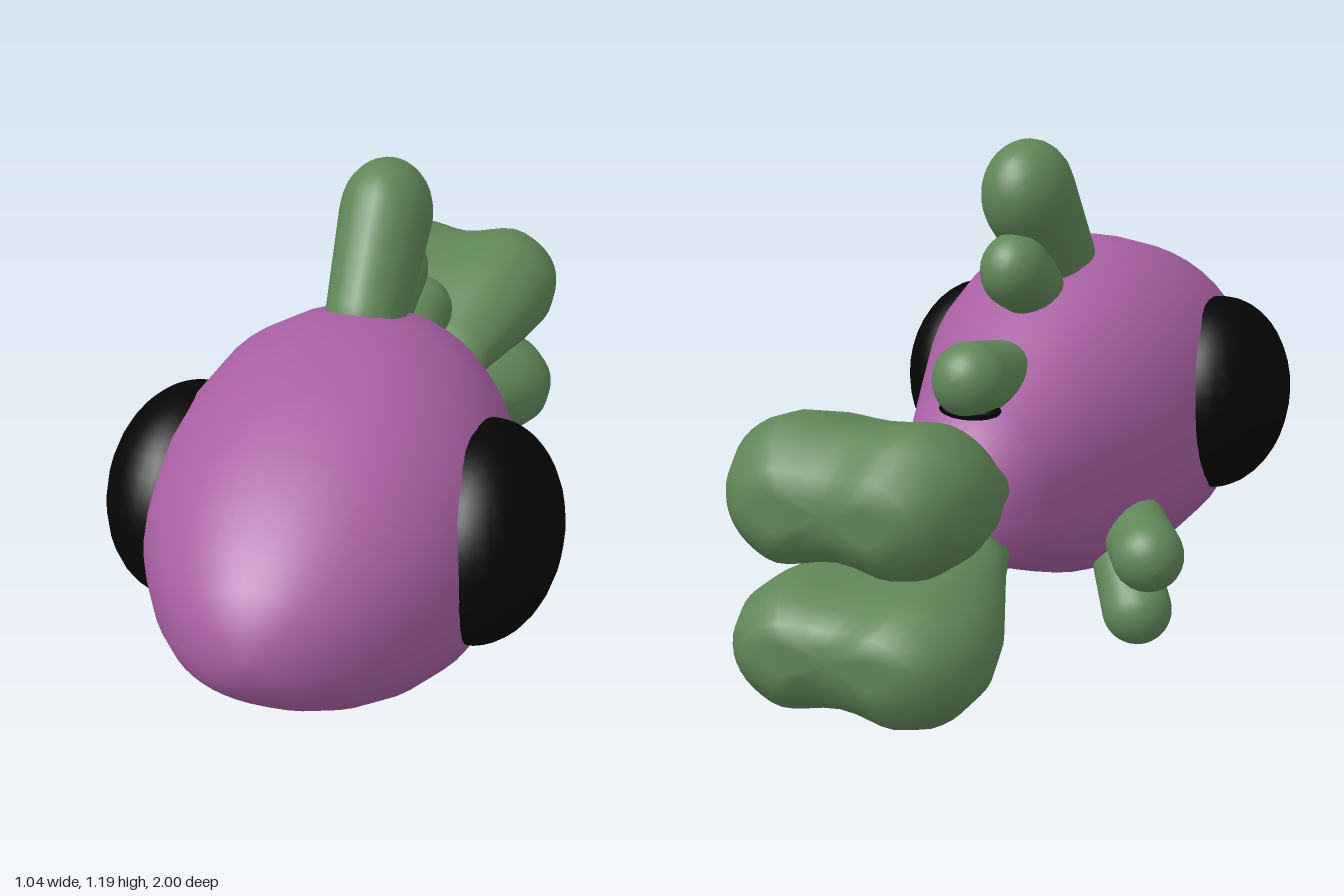
import * as THREE from 'three';

const purple = new THREE.MeshStandardMaterial({ color: 0xa85fa3 });
purple.name = 'bodyPurple';
const green = new THREE.MeshStandardMaterial({ color: 0x608658 });
green.name = 'finGreen';
const black = new THREE.MeshStandardMaterial({ color: 0x060606 });
black.name = 'eyeBlack';

function add(group, name, geometry, material) {
  const mesh = new THREE.Mesh(geometry, material);
  mesh.name = name;
  group.add(mesh);
  return mesh;
}

// Skin over sections [z, halfWidth, centreY, halfHeight], ordered from back to front.
// topPower and lowPower set how square each half is;
// waist pinches the middle of each section; notch dents the rear end.
function loft(sections, { topPower, lowPower, waist = 0, notch = 0 }) {
  const pos = [], index = [], n = sections.length, seg = 48;
  for (const [z, w, cy, h] of sections) {
    const back = Math.min(1, Math.max(0, (-z - 0.45) / 0.35));
    const end = Math.max(0, (-z - 0.8) / 0.2);
    for (let j = 0; j < seg; j++) {
      const a = (j / seg) * Math.PI * 2;
      const power = Math.sin(a) > 0 ? topPower : lowPower;
      const round = (v) => Math.sign(v) * Math.abs(v) ** (2 / power);
      const c = round(Math.cos(a)), s = round(Math.sin(a));
      const mid = Math.max(0, 1 - 2.5 * c * c) ** 2;
      pos.push(w * c, cy + h * s * (1 - waist * back * mid), z + notch * end * mid);
    }
  }
  for (let i = 0; i < n - 1; i++) {
    for (let j = 0; j < seg; j++) {
      const k = (j + 1) % seg;
      const a = i * seg + j, b = i * seg + k, c = a + seg, d = b + seg;
      index.push(a, b, d, a, d, c);
    }
  }
  // End caps
  const first = sections[0], last = sections[n - 1];
  pos.push(0, first[2], first[0] + notch, 0, last[2], last[0]);
  for (let j = 0; j < seg; j++) {
    const k = (j + 1) % seg;
    index.push(k, j, n * seg);
    index.push((n - 1) * seg + j, (n - 1) * seg + k, n * seg + 1);
  }
  const geo = new THREE.BufferGeometry();
  geo.setAttribute('position', new THREE.Float32BufferAttribute(pos, 3));
  geo.setIndex(index);
  geo.computeVertexNormals();
  return geo;
}

// Rounded fin lobe: two spheres of different radius joined by a cone
function lobe(from, to, r0, r1) {
  const a = new THREE.Vector3(...from), dir = new THREE.Vector3(...to).sub(a);
  const len = dir.length(), tilt = Math.asin((r0 - r1) / len), pts = [];
  const arc = (r, y, p0, p1) => {
    for (let i = 0; i <= 8; i++) {
      const p = p0 + ((p1 - p0) * i) / 8;
      pts.push(new THREE.Vector2(Math.max(0, r * Math.cos(p)), y + r * Math.sin(p)));
    }
  };
  arc(r0, 0, -Math.PI / 2, tilt);
  arc(r1, len, tilt, Math.PI / 2);
  const geo = new THREE.LatheGeometry(pts, 24);
  geo.applyQuaternion(new THREE.Quaternion().setFromUnitVectors(new THREE.Vector3(0, 1, 0), dir.normalize()));
  return geo.translate(a.x, a.y, a.z);
}

export function createModel() {
  const fish = new THREE.Group();
  fish.name = 'fish';

  // Body: [z, halfWidth, bottom, top]
  const profile = [
    [-0.46, 0.14, 0.275, 0.54], [-0.33, 0.187, 0.235, 0.625], [-0.2, 0.235, 0.195, 0.712],
    [-0.1, 0.275, 0.155, 0.78], [0, 0.315, 0.12, 0.84], [0.1, 0.355, 0.1, 0.89],
    [0.25, 0.388, 0.09, 0.93], [0.4, 0.4, 0.105, 0.918], [0.55, 0.387, 0.145, 0.885],
    [0.7, 0.338, 0.213, 0.82], [0.8, 0.28, 0.27, 0.762], [0.88, 0.22, 0.328, 0.705],
    [0.94, 0.157, 0.383, 0.652], [0.975, 0.1, 0.43, 0.605], [0.993, 0.05, 0.473, 0.562],
    [1, 0.015, 0.505, 0.53],
  ];
  add(fish, 'body', loft(profile.map(([z, w, lo, hi]) => [z, w, (lo + hi) / 2, (hi - lo) / 2]),
    { topPower: 2.12, lowPower: 2.4 }), purple);

  // Tail fins: the lower one mirrors the upper one
  const tail = [
    [-1, 0.145, 0.545, 0.045], [-0.988, 0.195, 0.55, 0.095], [-0.95, 0.24, 0.556, 0.148],
    [-0.88, 0.274, 0.56, 0.177], [-0.8, 0.278, 0.555, 0.174], [-0.7, 0.25, 0.541, 0.158],
    [-0.6, 0.205, 0.515, 0.126], [-0.5, 0.16, 0.485, 0.092], [-0.44, 0.14, 0.47, 0.073],
  ];
  const tailShape = { topPower: 2.2, lowPower: 2.2, waist: 0.24, notch: 0.02 };
  add(fish, 'upperTailFin', loft(tail, tailShape), green);
  add(fish, 'lowerTailFin', loft(tail.map(([z, w, y, h]) =>
    [z, w, 0.385 - (y - 0.395) * 0.91, h * 0.91]), tailShape), green);

  // Row of fins along the back, the first two slightly flattened sideways
  add(fish, 'frontDorsalFin',
    lobe([0, 0.88, 0.15], [0, 1.066, -0.028], 0.11, 0.13).scale(0.83, 1, 1), green);
  add(fish, 'middleDorsalFin',
    lobe([0, 0.84, 0], [0, 0.895, -0.105], 0.08, 0.09).scale(0.9, 1, 1), green);
  add(fish, 'rearDorsalFin', lobe([0, 0.662, -0.2], [0, 0.682, -0.343], 0.084, 0.088), green);
  const spot = add(fish, 'backSpot', new THREE.SphereGeometry(1, 20, 12), black);
  spot.scale.set(0.075, 0.022, 0.048);
  spot.position.set(0, 0.615, -0.347);

  // Paired eyes and side fins
  for (const [side, s] of [['left', 1], ['right', -1]]) {
    const eye = add(fish, side + 'Eye', new THREE.SphereGeometry(1, 32, 20), black);
    eye.scale.set(0.18, 0.247, 0.262);
    eye.position.set(s * 0.338, 0.525, 0.41);
    add(fish, side + 'UpperSideFin',
      lobe([s * 0.265, 0.27, 0.005], [s * 0.342, 0.243, -0.108], 0.082, 0.086), green);
    add(fish, side + 'LowerSideFin',
      lobe([s * 0.215, 0.21, 0.045], [s * 0.3, 0.087, -0.062], 0.078, 0.084), green);
  }
  return fish;
}
